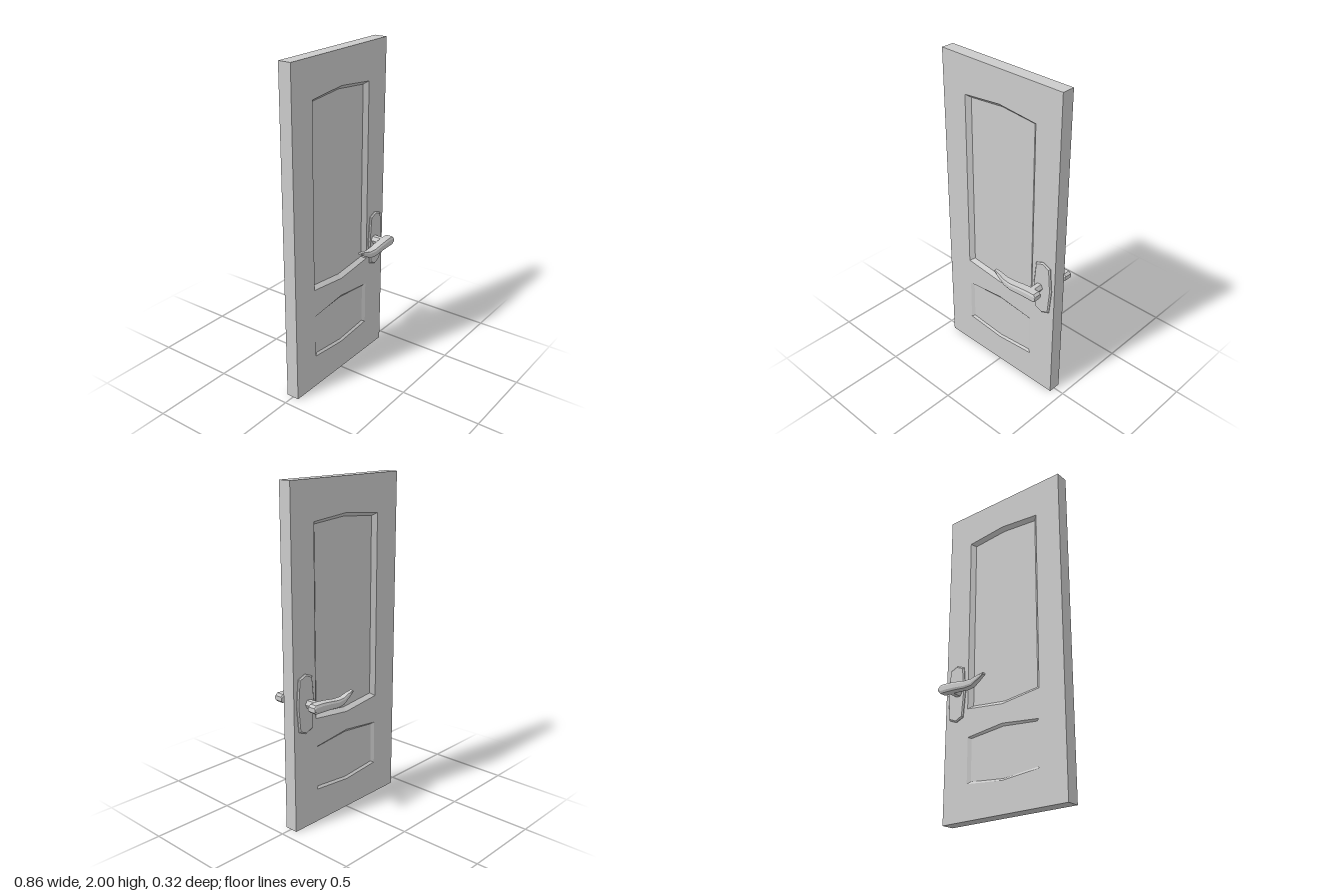
import * as THREE from 'three';

const HALF_W = 0.43, HEIGHT = 2, HALF_D = 0.04, CENTRE_Z = -0.0025;

const material = new THREE.MeshStandardMaterial({ color: 0xcccccc, flatShading: true });

// Skin between successive loops of [x, y, z] points, with optional end caps.
function loft(loops, capStart = false, capEnd = false) {
  const pos = [];
  const tri = (a, b, c) => pos.push(...a, ...b, ...c);
  for (let k = 0; k + 1 < loops.length; k++) {
    const a = loops[k], b = loops[k + 1];
    a.forEach((p, i) => {
      const j = (i + 1) % a.length;
      tri(p, a[j], b[j]);
      tri(p, b[j], b[i]);
    });
  }
  const first = loops[0], last = loops[loops.length - 1];
  for (let i = 1; i + 1 < first.length; i++) {
    if (capStart) tri(first[0], first[i + 1], first[i]);
    if (capEnd) tri(last[0], last[i], last[i + 1]);
  }
  const geometry = new THREE.BufferGeometry();
  geometry.setAttribute('position', new THREE.Float32BufferAttribute(pos, 3));
  geometry.computeVertexNormals();
  return geometry;
}

// Mirror a geometry to the other side of the door, keeping its faces outward.
function mirrorZ(source) {
  const g = source.index ? source.toNonIndexed() : source.clone();
  const p = g.attributes.position;
  for (let i = 0; i < p.count; i += 3) {
    const v = [0, 2, 1].map((k) => new THREE.Vector3().fromBufferAttribute(p, i + k));
    v.forEach((q, k) => p.setXYZ(i + k, q.x, q.y, -q.z));
  }
  g.computeVertexNormals();
  return g;
}

const atZ = (points, z) => points.map(([x, y]) => [x, y, z]);

// Door outline, counter-clockwise
const rim = [[-HALF_W, 0], [HALF_W, 0], [HALF_W, HEIGHT], [-HALF_W, HEIGHT]];

// Six-cornered panel outline with a peaked top and bottom, counter-clockwise.
const panelOutline = (w, sideBottom, midBottom, sideTop, midTop) => [
  [-w, sideBottom], [0, midBottom], [w, sideBottom],
  [w, sideTop], [0, midTop], [-w, sideTop],
];

const panels = [
  {
    name: 'UpperPanel', depth: 0.023,
    outer: panelOutline(0.26, 0.655, 0.625, 1.775, 1.8),
    inner: panelOutline(0.234, 0.673, 0.648, 1.758, 1.778),
  },
  {
    name: 'LowerPanel', depth: 0.011,
    outer: panelOutline(0.255, 0.208, 0.185, 0.48, 0.51),
    inner: panelOutline(0.234, 0.22, 0.198, 0.472, 0.495),
  },
];

// Door face with openings for the panels
function doorFace() {
  const toPoints = (pts) => pts.map(([x, y]) => new THREE.Vector2(x, y));
  const shape = new THREE.Shape(toPoints(rim));
  panels.forEach((p) => shape.holes.push(new THREE.Path(toPoints(p.outer))));
  return new THREE.ShapeGeometry(shape).translate(0, 0, HALF_D);
}

// Long eight-sided plate with a bevelled rim
function handlePlate() {
  const cx = 0.344, cy = 0.767, rx = 0.067, ry = 0.178;
  const outline = [
    [rx, 0], [0.052, 0.157], [0, ry], [-0.052, 0.157],
    [-rx, 0], [-0.052, -0.157], [0, -ry], [0.052, -0.157],
  ];
  const ring = (inset, z) => outline.map(([x, y]) => [
    cx + x * (1 - inset / rx), cy + y * (1 - inset / ry), z,
  ]);
  return loft([ring(0, HALF_D), ring(0, HALF_D + 0.004), ring(0.008, HALF_D + 0.011)], false, true);
}

// Curved lever: chamfered sections along x
function handleLever() {
  const cz = 0.1335;
  // x, centre y, half height, half depth
  const sections = [
    [0.057, 0.793, 0.006, 0.012],
    [0.095, 0.777, 0.014, 0.017],
    [0.14, 0.757, 0.02, 0.022],
    [0.19, 0.754, 0.022, 0.027],
    [0.26, 0.763, 0.024, 0.029],
    [0.32, 0.768, 0.026, 0.029],
    [0.373, 0.769, 0.026, 0.0285],
    [0.386, 0.768, 0.013, 0.0275],
  ];
  const corners = [[1, -0.78], [1, 0.78], [0.5, 1], [-0.5, 1], [-1, 0.78], [-1, -0.78], [-0.5, -1], [0.5, -1]];
  // Corners run from +y towards +z, so the skin faces outward along +x
  return loft(sections.map(([x, y, hy, hz]) =>
    corners.map(([v, w]) => [x, y + v * hy, cz + w * hz])), true, true);
}

// Six-sided spindle joining plate and lever
function handleSpindle() {
  const g = new THREE.CylinderGeometry(0.027, 0.027, 0.065, 6, 1, true);
  g.rotateY(Math.PI / 2).rotateX(Math.PI / 2);
  return g.translate(0.3245, 0.767, 0.0805);
}

export function createModel() {
  const door = new THREE.Group();
  door.name = 'door';
  const add = (parent, name, geometry) => {
    const mesh = new THREE.Mesh(geometry, material);
    mesh.name = name;
    parent.add(mesh);
  };

  // Outer edges of the slab
  add(door, 'doorEdges', loft([atZ(rim, -HALF_D), atZ(rim, HALF_D)]));

  // Face, sunken panels and handle, repeated on both sides
  for (const side of ['front', 'back']) {
    const place = (geometry) => (side === 'front' ? geometry : mirrorZ(geometry));
    add(door, side + 'Face', place(doorFace()));
    for (const { name, depth, outer, inner } of panels) {
      const recess = loft([atZ(outer, HALF_D), atZ(inner, HALF_D - depth)], false, true);
      add(door, side + name, place(recess));
    }
    const handle = new THREE.Group();
    handle.name = side + 'Handle';
    add(handle, 'plate', place(handlePlate()));
    add(handle, 'spindle', place(handleSpindle()));
    add(handle, 'lever', place(handleLever()));
    door.add(handle);
  }

  door.position.z = CENTRE_Z;
  const model = new THREE.Group();
  model.name = 'panelDoor';
  model.add(door);
  return model;
}
